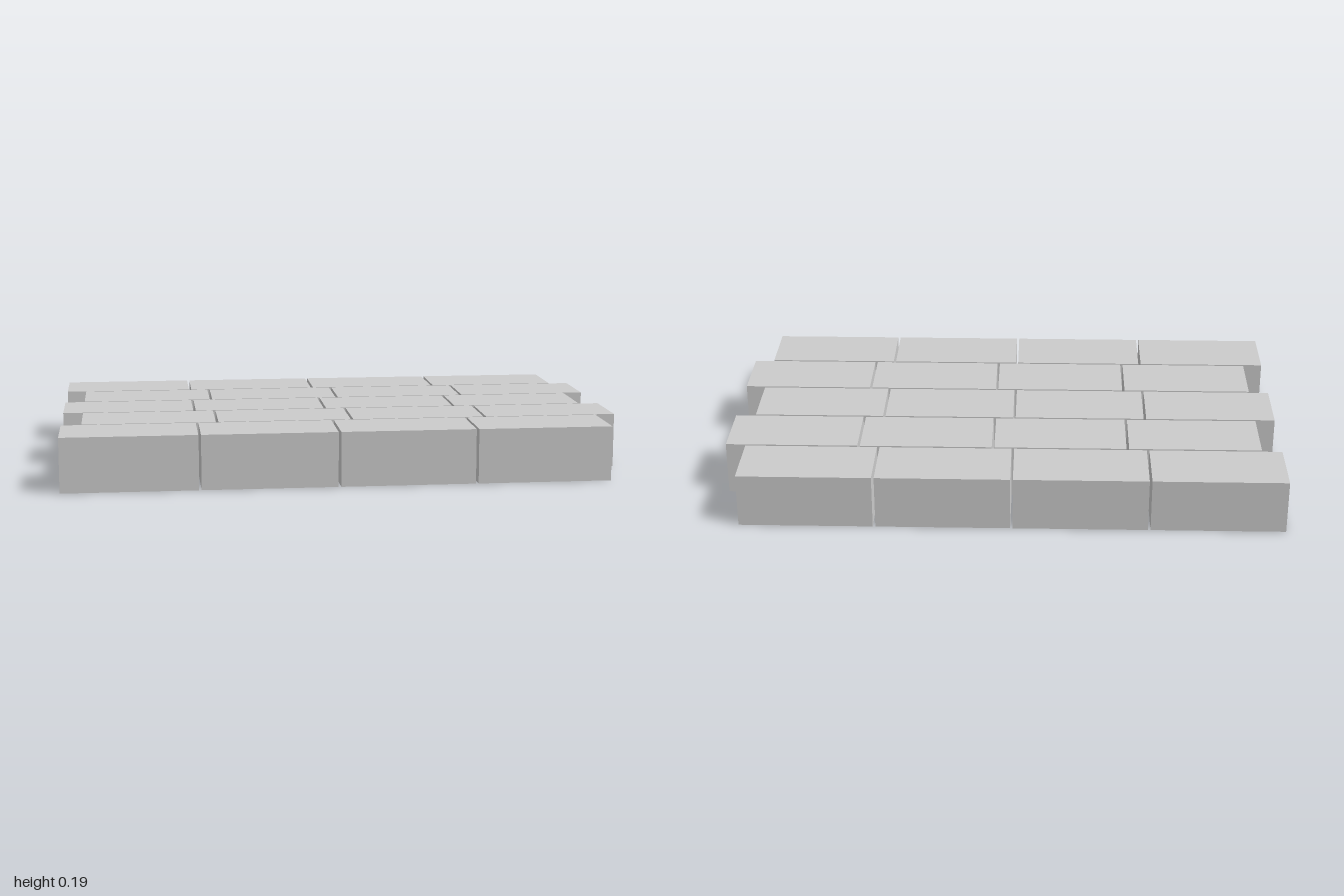
import * as THREE from 'three';

const ROWS = 5, BRICKS_PER_ROW = 4;
const WIDTH = 0.475, HEIGHT = 0.194, DEPTH = 0.233;
const PITCH_X = 0.4843, PITCH_Z = 0.2417;
const STAGGER = 0.072; // alternate rows are shifted toward +x

export function createModel() {
  const paving = new THREE.Group();
  paving.name = 'brickPaving';
  const material = new THREE.MeshStandardMaterial({ color: 0xcccccc });
  const brickGeometry = new THREE.BoxGeometry(WIDTH, HEIGHT, DEPTH);

  // Rows from back to front, with a narrow open joint between bricks
  for (let r = 0; r < ROWS; r++) {
    const row = new THREE.Group();
    row.name = `brickRow${r + 1}`;
    row.position.set(r % 2 ? STAGGER : 0, HEIGHT / 2, (r - (ROWS - 1) / 2) * PITCH_Z);
    for (let i = 0; i < BRICKS_PER_ROW; i++) {
      const brick = new THREE.Mesh(brickGeometry, material);
      brick.name = `brick${i + 1}`;
      brick.position.x = -1 + WIDTH / 2 + i * PITCH_X;
      row.add(brick);
    }
    paving.add(row);
  }
  return paving;
}
